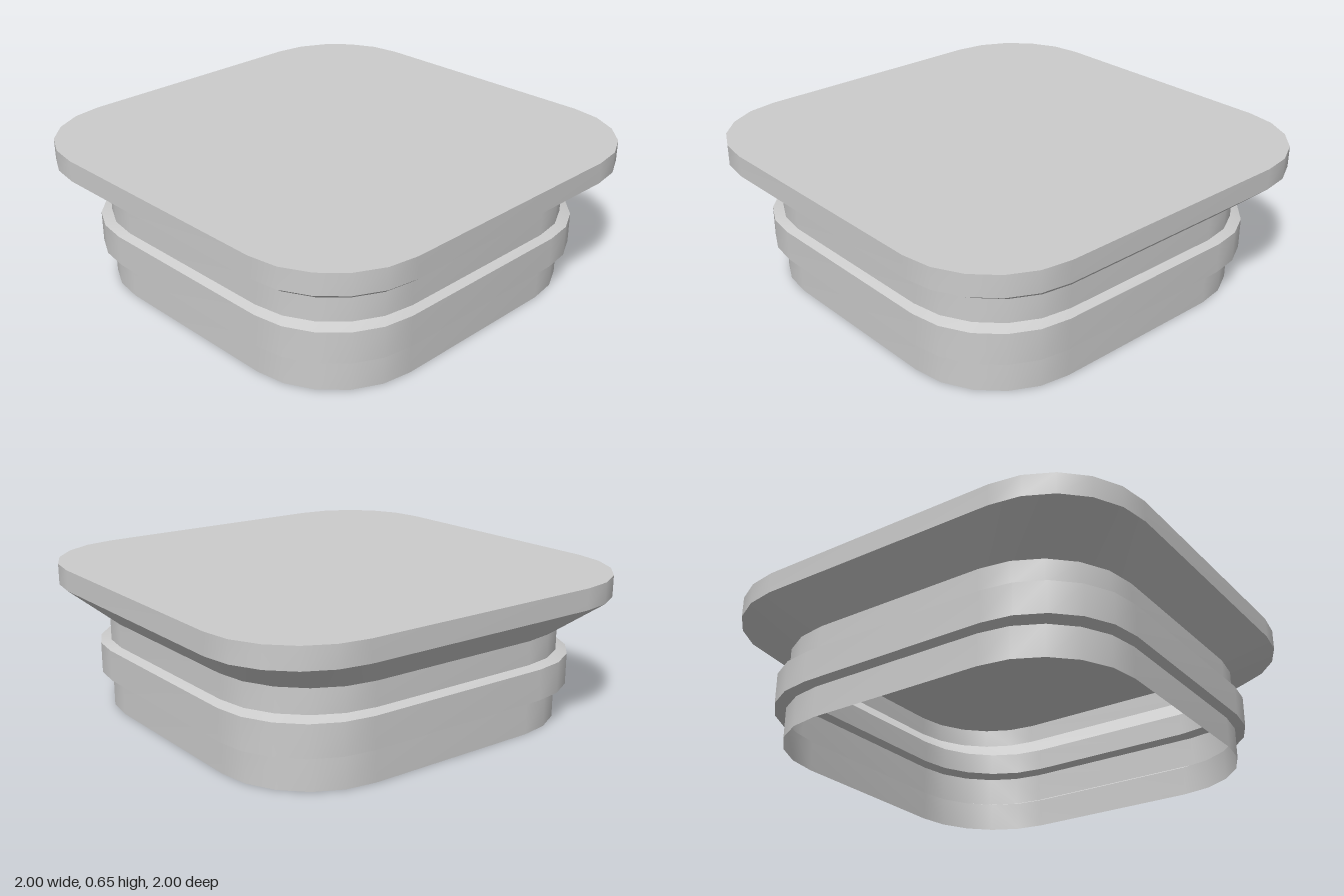
import * as THREE from 'three';

const CORNER_RADIUS = 0.43;
const CORNER_SEGMENTS = 5;

// Outline of a rounded square as [x, z] points
function outline(half) {
  const points = [];
  const c = half - CORNER_RADIUS;
  for (let corner = 0; corner < 4; corner++) {
    const mid = (corner + 0.5) * Math.PI / 2;
    const cx = Math.sign(Math.cos(mid)) * c;
    const cz = Math.sign(Math.sin(mid)) * c;
    for (let i = 0; i <= CORNER_SEGMENTS; i++) {
      const a = (corner + i / CORNER_SEGMENTS) * Math.PI / 2;
      points.push([cx + CORNER_RADIUS * Math.cos(a), cz + CORNER_RADIUS * Math.sin(a)]);
    }
  }
  return points;
}

// Thin wall between two outlines, smooth around the loop
function wall([y0, half0], [y1, half1]) {
  const lower = outline(half0);
  const upper = outline(half1);
  const n = lower.length;
  const positions = [];
  const index = [];
  for (const [x, z] of lower) positions.push(x, y0, z);
  for (const [x, z] of upper) positions.push(x, y1, z);
  for (let i = 0; i < n; i++) {
    const j = (i + 1) % n;
    index.push(i, n + i, j, j, n + i, n + j);
  }
  const geometry = new THREE.BufferGeometry();
  geometry.setAttribute('position', new THREE.Float32BufferAttribute(positions, 3));
  geometry.setIndex(index);
  geometry.computeVertexNormals();
  return geometry;
}

export function createModel() {
  const group = new THREE.Group();
  group.name = 'squareCap';
  const material = new THREE.MeshStandardMaterial({ color: 0xcccccc, side: THREE.DoubleSide });
  const add = (name, geometry) => {
    const mesh = new THREE.Mesh(geometry, material);
    mesh.name = name;
    group.add(mesh);
  };

  // Side profile from the open bottom up: [height, half width]
  const profile = [
    [0, 0.84], [0.137, 0.84], [0.155, 0.875], [0.294, 0.875],
    [0.311, 0.84], [0.417, 0.84], [0.558, 1], [0.652, 1],
  ];
  const names = ['lowerSkirt', 'bandLowerChamfer', 'sealingBand', 'bandUpperChamfer',
    'neck', 'flare', 'lidRim'];
  names.forEach((name, i) => add(name, wall(profile[i], profile[i + 1])));

  // Flat lid closing the top
  const shape = new THREE.Shape(outline(1).map(([x, z]) => new THREE.Vector2(x, z)));
  const top = new THREE.ShapeGeometry(shape);
  top.rotateX(-Math.PI / 2);
  top.translate(0, 0.652, 0);
  add('lidTop', top);

  return group;
}
